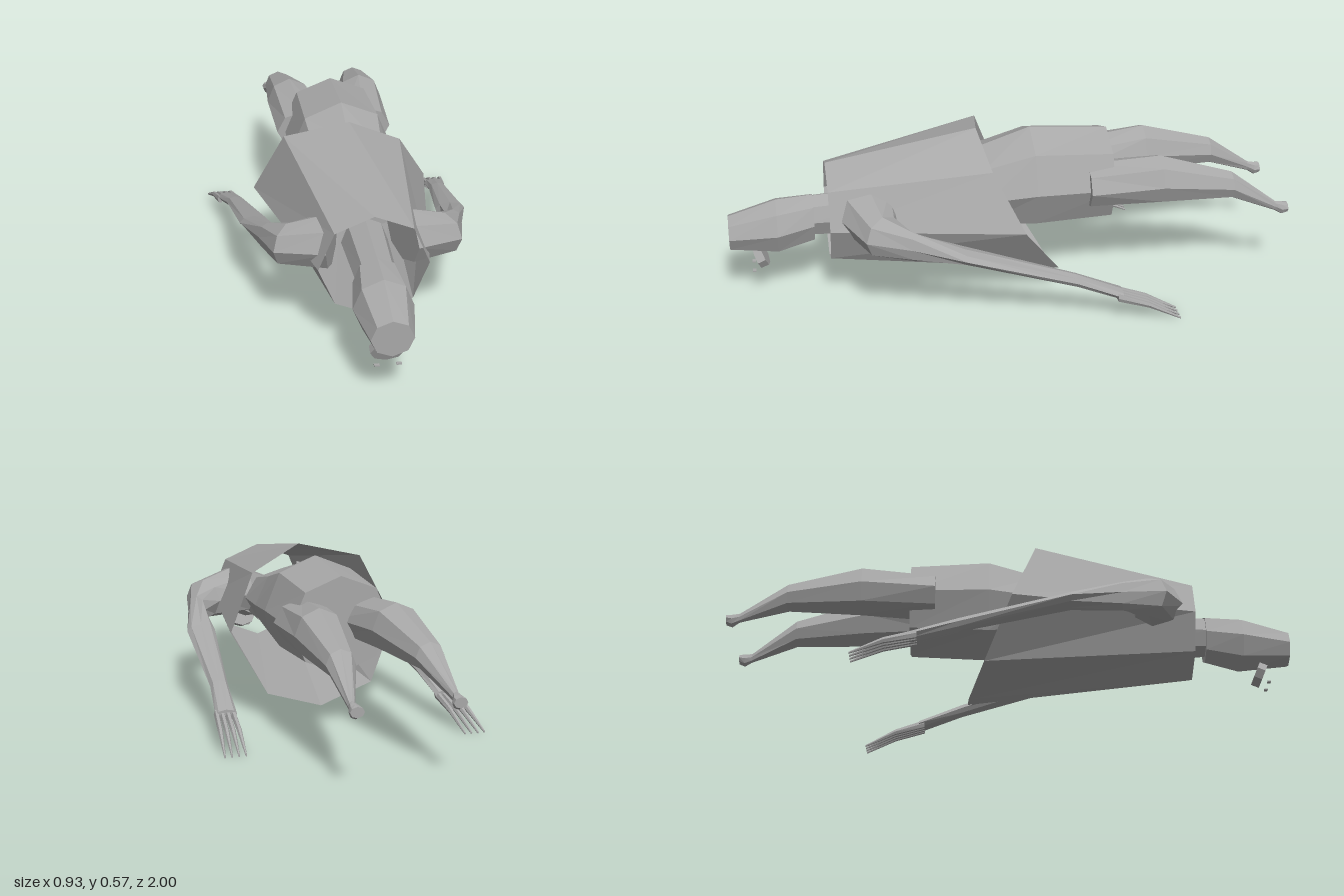
import * as THREE from 'three';

const stone = new THREE.MeshStandardMaterial({ color: 0xa8a8a8, flatShading: true, side: THREE.DoubleSide });
stone.name = 'grey';

// Elliptical section: centre, horizontal half axis (ux, uz), vertical half axis (vy)
function ring([cx, cy, cz, ux, uz, vy], side = 1, n = 8) {
  const points = [];
  for (let i = 0; i < n; i++) {
    const t = (i / n) * Math.PI * 2;
    const c = Math.cos(t);
    points.push(new THREE.Vector3(side * (cx + ux * c), cy + vy * Math.sin(t), cz + uz * c));
  }
  return points;
}

// Faceted skin through the rings, wound outward, with optional flat ends
function loft(name, rings, capped = true) {
  const n = rings[0].length;
  const [a, b, c] = rings[0];
  const normal = b.clone().sub(a).cross(c.clone().sub(a));
  const middle = (r) => r.reduce((s, p) => s.add(p), new THREE.Vector3()).divideScalar(n);
  const flip = normal.dot(middle(rings[1]).sub(middle(rings[0]))) < 0;
  const positions = [];
  const face = (p, q, r) => (flip ? [p, r, q] : [p, q, r]).forEach((v) => positions.push(v.x, v.y, v.z));
  for (let k = 0; k + 1 < rings.length; k++) {
    for (let i = 0; i < n; i++) {
      const j = (i + 1) % n;
      face(rings[k][i], rings[k][j], rings[k + 1][i]);
      face(rings[k][j], rings[k + 1][j], rings[k + 1][i]);
    }
  }
  if (capped) {
    const last = rings[rings.length - 1];
    for (let i = 1; i + 1 < n; i++) {
      face(rings[0][0], rings[0][i + 1], rings[0][i]);
      face(last[0], last[i], last[i + 1]);
    }
  }
  const geometry = new THREE.BufferGeometry();
  geometry.setAttribute('position', new THREE.Float32BufferAttribute(positions, 3));
  geometry.computeVertexNormals();
  const mesh = new THREE.Mesh(geometry, stone);
  mesh.name = name;
  return mesh;
}

const tube = (name, sections, side = 1, n = 8) => loft(name, sections.map((s) => ring(s, side, n)));

export function createModel() {
  const model = new THREE.Group();
  model.name = 'figure';

  // Open chest shell, flaring to a slanted, slightly uneven hem
  const hem = [
    [0.295, 0.29, -0.02], [0.185, 0.483, 0.08], [0, 0.575, 0.113], [-0.228, 0.523, 0.085],
    [-0.33, 0.29, 0], [-0.21, 0.09, -0.095], [0, 0.033, -0.15], [0.2, 0.095, -0.155],
  ].map((p) => new THREE.Vector3(...p));
  model.add(loft('chest', [hem, ring([0, 0.2975, 0.65, 0.185, 0, 0.1825])], false));

  // Pelvis and waist running up inside the chest
  model.add(tube('pelvis', [
    [0, 0.375, -0.36, 0.18, 0, 0.17],
    [0, 0.378, -0.08, 0.187, 0, 0.188],
    [0, 0.36, 0.1, 0.17, 0, 0.145],
    [0, 0.345, 0.3, 0.15, 0, 0.105],
  ]));

  // Neck, head and chin
  model.add(tube('neck', [
    [0, 0.285, 0.45, 0.08, 0, 0.09],
    [0, 0.28, 0.71, 0.07, 0, 0.075],
  ]));
  model.add(tube('head', [
    [0, 0.272, 0.7, 0.08, 0, 0.088],
    [0, 0.25, 0.83, 0.1, 0, 0.1],
    [0, 0.235, 1, 0.07, 0, 0.063],
  ]));
  const chin = tube('chin', [
    [0, 0, -0.015, 0.055, 0, 0.042],
    [0, 0, 0.015, 0.055, 0, 0.042],
  ]);
  chin.position.set(0, 0.135, 0.893);
  chin.rotation.x = 0.4;
  model.add(chin);

  for (const side of [1, -1]) {
    const label = side > 0 ? 'left' : 'right';

    // Small flecks beside the chin
    const fleck = new THREE.Mesh(new THREE.BoxGeometry(0.018, 0.004, 0.012), stone);
    fleck.name = label + 'ChinFleck';
    fleck.position.set(side * 0.036, 0.093, 0.92);
    model.add(fleck);

    // Arm: shoulder turning back into upper arm, elbow and forearm
    const arm = new THREE.Group();
    arm.name = label + 'Arm';
    arm.add(tube('armLimb', [
      [0.12, 0.335, 0.51, 0.035, 0.11, 0.095],
      [0.268, 0.312, 0.475, 0.05, 0.06, 0.073],
      [0.318, 0.29, 0.38, 0.033, 0, 0.055],
      [0.348, 0.255, 0.2, 0.052, 0, 0.024],
      [0.383, 0.145, -0.18, 0.032, 0, 0.022],
      [0.402, 0.088, -0.34, 0.038, 0, 0.018],
    ], side));

    // Four tapering fingers
    for (let i = 0; i < 4; i++) {
      const root = 0.374 + i * 0.019;
      const tip = 0.39 + i * 0.024;
      arm.add(tube('finger', [
        [root, 0.088, -0.32, 0.01, 0, 0.016],
        [(root + tip) / 2, 0.057, -0.43, 0.009, 0, 0.011],
        [tip, 0.004, -0.54, 0.003, 0, 0.004],
      ], side, 6));
    }
    model.add(arm);

    // Leg with a knobbed foot
    model.add(tube(label + 'Leg', [
      [0.11, 0.378, -0.27, 0.102, 0, 0.078],
      [0.135, 0.39, -0.53, 0.085, 0, 0.09],
      [0.151, 0.355, -0.79, 0.05, 0, 0.05],
      [0.172, 0.265, -0.955, 0.012, 0, 0.018],
      [0.17, 0.255, -0.98, 0.022, 0, 0.024],
      [0.17, 0.258, -1, 0.024, 0, 0.018],
    ], side));
  }
  return model;
}
